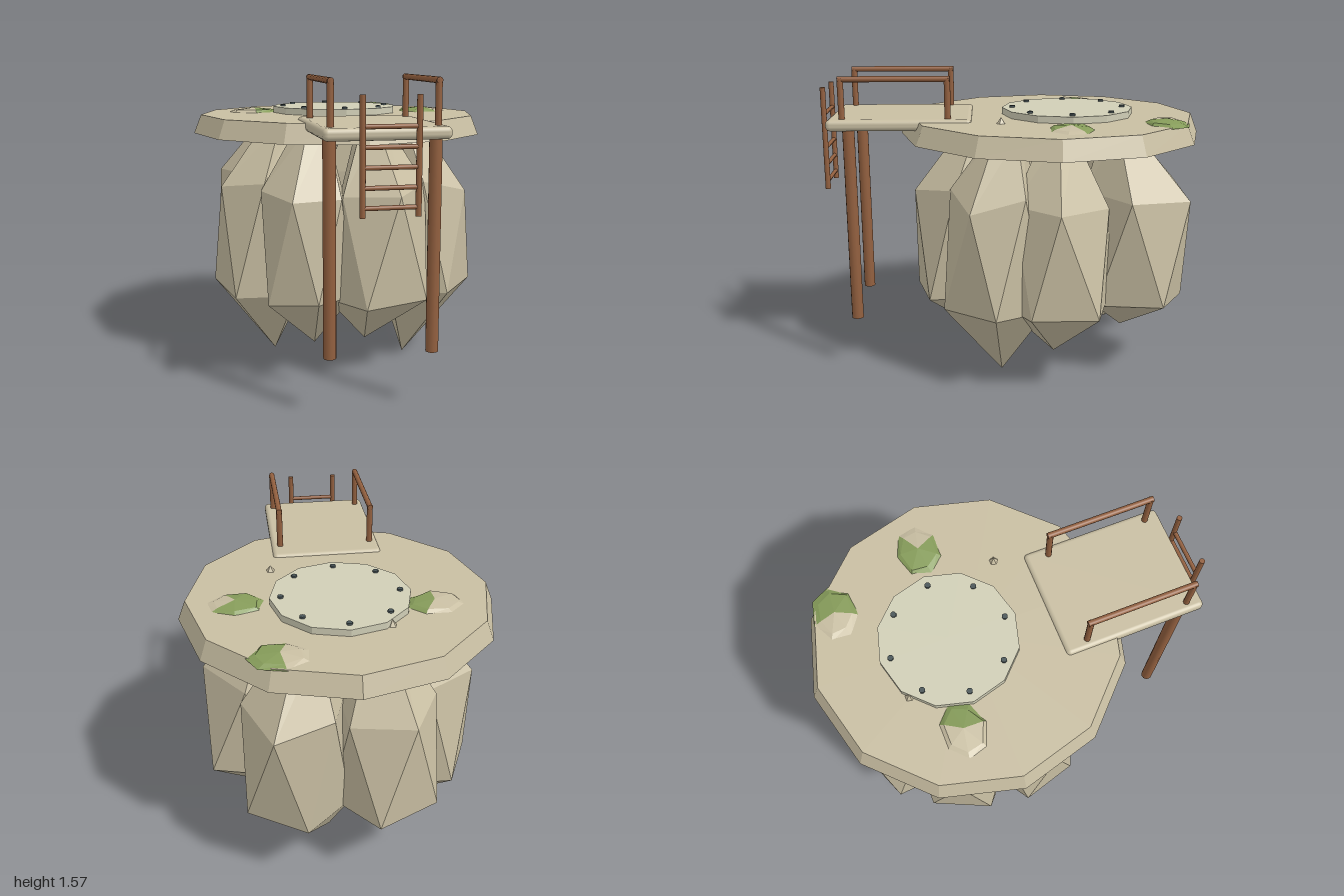
import * as THREE from 'three';
import { RoundedBoxGeometry } from 'three/addons/geometries/RoundedBoxGeometry.js';

const mat = (color, flatShading = false) => new THREE.MeshStandardMaterial({ color, flatShading });
const stone = mat(0xc8bea2, true);
const deckStone = mat(0xc8bea2);
const hatchStone = mat(0xd0ceb6, true);
const copper = mat(0x93603f);
const moss = mat(0x869c5a, true);
const iron = mat(0x4a5658);

// Small seeded generator, returns -1..1
let seed = 7;
const jitter = () => {
  seed = (seed * 16807) % 2147483647;
  return (seed / 2147483647) * 2 - 1;
};

function add(parent, name, geometry, material, x = 0, y = 0, z = 0) {
  const mesh = new THREE.Mesh(geometry, material);
  mesh.name = name;
  mesh.position.set(x, y, z);
  parent.add(mesh);
  return mesh;
}

// Round bar between two points
function bar(parent, name, a, b, radius) {
  const from = new THREE.Vector3(...a), to = new THREE.Vector3(...b);
  const dir = to.clone().sub(from);
  const mesh = add(parent, name, new THREE.CylinderGeometry(radius, radius, dir.length(), 12), copper);
  mesh.position.copy(from).add(to).multiplyScalar(0.5);
  mesh.quaternion.setFromUnitVectors(new THREE.Vector3(0, 1, 0), dir.normalize());
}

// Hanging shard: narrow top, shoulder, waist twisted by half a side, pointed tip
function shardGeometry([x, z, shoulder, waist, tipX, tipZ, tipY]) {
  const sides = 5;
  const geo = new THREE.CylinderGeometry(1, 1, 1, sides, 3, true);
  const pos = geo.attributes.position;
  const outward = Math.atan2(x, z + 0.2);
  const rings = [
    { x: x * 0.8, z: -0.2 + (z + 0.2) * 0.8, y: 1.29, r: 0.085, dy: 0, twist: 0 },
    { x, z, y: 0.98, r: shoulder, dy: 0.04, twist: 0 },
    { x, z, y: 0.41, r: waist, dy: 0.02, twist: 0.5 },
    { x: tipX, z: tipZ, y: tipY, r: 0, dy: 0, twist: 0.5 },
  ];
  rings.forEach((ring, row) => {
    for (let i = 0; i < sides; i++) {
      const angle = outward + ((i + ring.twist + jitter() * 0.08) / sides) * Math.PI * 2;
      const r = ring.r * (1 + jitter() * 0.05);
      const p = [ring.x + Math.sin(angle) * r, ring.y + jitter() * ring.dy, ring.z + Math.cos(angle) * r];
      pos.setXYZ(row * (sides + 1) + i, ...p);
      if (i === 0) pos.setXYZ(row * (sides + 1) + sides, ...p);
    }
  });
  geo.computeVertexNormals();
  return geo;
}

// Low faceted boulder, partly covered with moss
function mossGeometry(mossSides) {
  const sides = 7;
  const geo = new THREE.ConeGeometry(1, 1, sides, 2, true);
  geo.translate(0, 0.5, 0);
  const pos = geo.attributes.position;
  for (let i = 0; i < sides; i++) {
    const k = 1.5 + jitter() * 0.25;
    const y = 0.6 + jitter() * 0.15;
    for (const j of i ? [i] : [0, sides]) {
      const v = sides + 1 + j;
      pos.setXYZ(v, pos.getX(v) * k, y, pos.getZ(v) * k);
    }
  }
  geo.clearGroups();
  geo.addGroup(0, mossSides * 9, 0);
  geo.addGroup(mossSides * 9, (sides - mossSides) * 9, 1);
  geo.computeVertexNormals();
  return geo;
}

export function createModel() {
  const model = new THREE.Group();
  model.name = 'rockPlatform';

  // Ring of hanging shards: x, z, shoulder and waist radius, tip x, tip z, tip y
  const shards = new THREE.Group();
  shards.name = 'hangingRocks';
  model.add(shards);
  [
    [0.42, 0.1, 0.23, 0.28, 0.32, 0.07, 0],
    [0.13, 0.285, 0.24, 0.28, 0.07, 0.2, 0.14],
    [-0.25, 0.24, 0.23, 0.25, -0.2, 0.16, 0.12],
    [-0.45, -0.04, 0.23, 0.28, -0.39, -0.05, 0.03],
    [-0.42, -0.4, 0.23, 0.26, -0.4, -0.34, 0.11],
    [-0.18, -0.66, 0.25, 0.28, -0.21, -0.55, 0.08],
    [0.26, -0.63, 0.28, 0.28, 0.1, -0.6, 0.16],
    [0.44, -0.22, 0.25, 0.3, 0.42, -0.2, 0.15],
  ].forEach((s) => add(shards, 'rockShard', shardGeometry(s), stone));

  // Top slab
  add(model, 'topSlab', new THREE.CylinderGeometry(0.76, 0.8, 0.1, 12), stone, 0, 1.29, -0.2);

  // Hatch with a ring of bolts
  add(model, 'hatch', new THREE.CylinderGeometry(0.35, 0.35, 0.04, 12), hatchStone, 0, 1.355, -0.29);
  for (let i = 0; i < 8; i++) {
    const a = (i / 8) * Math.PI * 2;
    add(model, 'hatchBolt', new THREE.CylinderGeometry(0.015, 0.015, 0.016, 8), iron,
      Math.sin(a) * 0.295, 1.377, -0.29 + Math.cos(a) * 0.295);
  }

  // Mossy boulders: x, z, half width, half depth, turn, mossy sides
  [
    [-0.45, -0.38, 0.155, 0.118, 0, 3],
    [0.515, -0.265, 0.155, 0.118, 2.2, 5],
    [0.335, -0.765, 0.155, 0.118, -0.3, 4],
  ].forEach(([x, z, w, d, turn, mossSides]) => {
    const holder = new THREE.Group();
    holder.name = 'mossyBoulder';
    holder.position.set(x, 1.335, z);
    holder.scale.set(w, 0.03, d);
    add(holder, 'boulder', mossGeometry(mossSides), [moss, stone]).rotation.y = turn;
    model.add(holder);
  });

  // Pebbles
  for (const [x, z] of [[0.32, 0.07], [-0.205, -0.565]]) {
    add(model, 'pebble', new THREE.ConeGeometry(0.025, 0.035, 5), stone, x, 1.355, z);
  }

  // Landing deck
  add(model, 'deck', new RoundedBoxGeometry(0.588, 0.058, 0.737, 3, 0.024), deckStone, 0, 1.326, 0.587);

  // Support posts, handrails and ladder sides on both sides
  for (const side of [-1, 1]) {
    const x = side * 0.247;
    bar(model, 'supportPost', [x, 0.28, 0.845], [x, 1.32, 0.845], 0.031);
    for (const z of [0.34, 0.875]) bar(model, 'railUpright', [x, 1.34, z], [x, 1.56, z], 0.016);
    bar(model, 'handrail', [x, 1.555, 0.325], [x, 1.555, 0.888], 0.015);
    bar(model, 'ladderSide', [side * 0.127, 0.965, 0.986], [side * 0.127, 1.5, 0.986], 0.014);
  }

  // Ladder rungs
  for (let i = 0; i < 5; i++) {
    const y = 1.007 + i * 0.089;
    bar(model, 'ladderRung', [-0.127, y, 0.986], [0.127, y, 0.986], 0.011);
  }

  return model;
}
